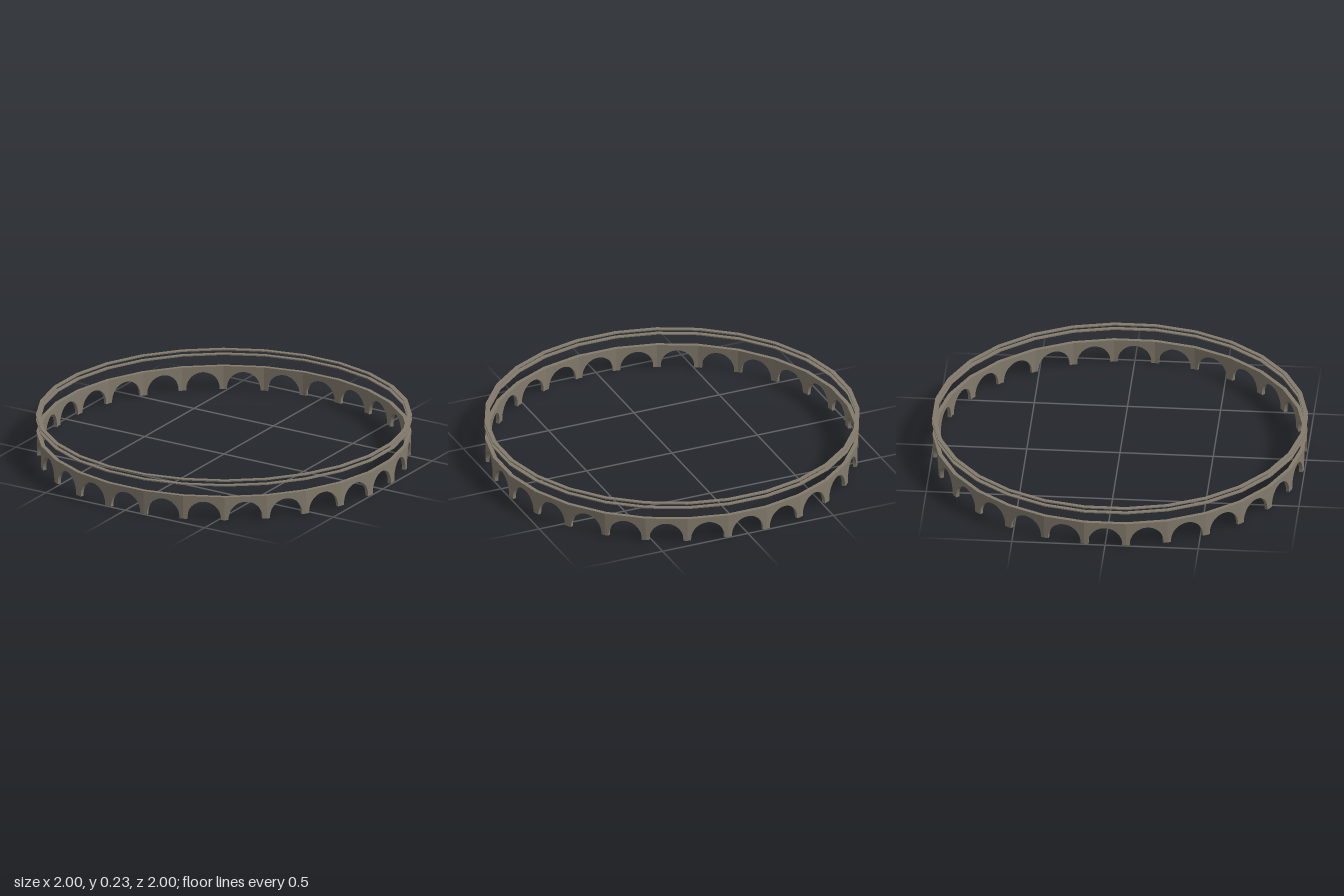
import * as THREE from 'three';

const SIDES = 28;
const HALF = Math.PI / SIDES;

// Flat-sided ring of rectangular section; radii are measured to the middle of each side
function ring(name, inner, outer, y0, y1, material) {
  const k = 1 / Math.cos(HALF);
  const profile = [[inner, y0], [outer, y0], [outer, y1], [inner, y1], [inner, y0]]
    .map(([r, y]) => new THREE.Vector2(r * k, y));
  const mesh = new THREE.Mesh(new THREE.LatheGeometry(profile, SIDES, HALF), material);
  mesh.name = name;
  return mesh;
}

// One wall panel with an arched opening, mitred to meet its neighbours
function archPanel(inner, outer, height) {
  const w = outer * Math.tan(HALF);
  const r = 0.091, spring = 0.01;
  const shape = new THREE.Shape();
  shape.moveTo(-w, 0);
  shape.lineTo(-r, 0);
  shape.lineTo(-r, spring);
  shape.absarc(0, spring, r, Math.PI, 0, true);
  shape.lineTo(r, 0);
  shape.lineTo(w, 0);
  shape.lineTo(w, height);
  shape.lineTo(-w, height);
  shape.closePath();
  const geometry = new THREE.ExtrudeGeometry(shape, {
    depth: outer - inner, bevelEnabled: false, curveSegments: 16,
  });
  geometry.translate(0, 0, inner);
  const p = geometry.attributes.position;
  for (let i = 0; i < p.count; i++) p.setX(i, p.getX(i) * p.getZ(i) / outer);
  geometry.computeVertexNormals();
  return geometry;
}

export function createModel() {
  const model = new THREE.Group();
  model.name = 'arcadeRing';
  const stone = new THREE.MeshStandardMaterial({ color: 0x837b6c, flatShading: true });
  stone.name = 'weathered stone';

  // Ring of arches
  const arcade = new THREE.Group();
  arcade.name = 'arcade';
  const panel = archPanel(0.976, 0.995, 0.125);
  for (let i = 0; i < SIDES; i++) {
    const mesh = new THREE.Mesh(panel, stone);
    mesh.name = 'archPanel';
    mesh.rotation.y = i * 2 * HALF;
    arcade.add(mesh);
  }
  model.add(arcade);

  // Cornice over the arches and two floating rails above it
  model.add(ring('cornice', 0.975, 0.997, 0.116, 0.132, stone));
  model.add(ring('lowerRail', 0.977, 1, 0.194, 0.2, stone));
  model.add(ring('upperRail', 0.977, 1, 0.221, 0.227, stone));
  return model;
}
